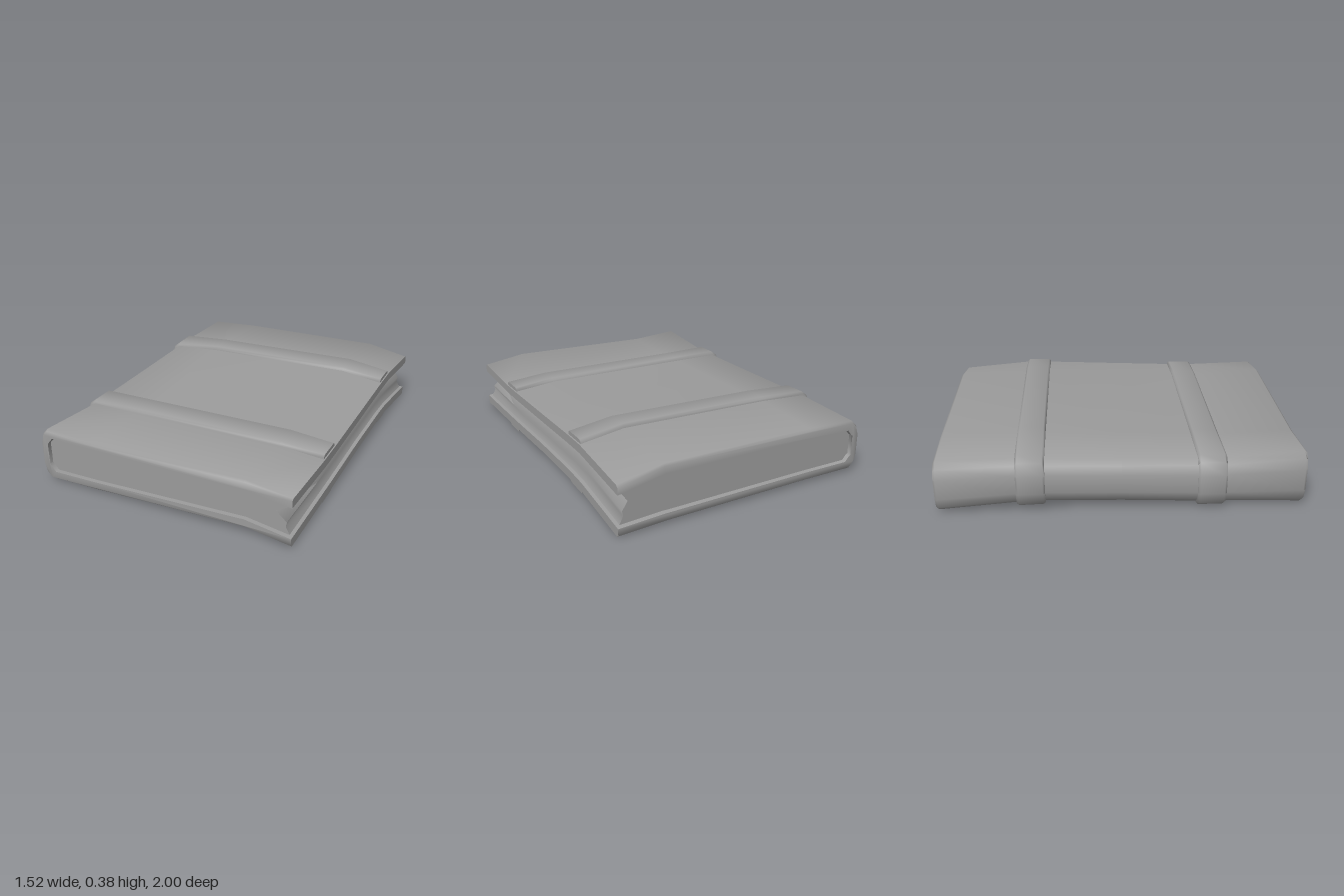
import * as THREE from 'three';
import { toCreasedNormals } from 'three/addons/utils/BufferGeometryUtils.js';

// Warped cover heights: one row per z, one column per x
const XS = [-0.7, -0.4, 0.5, 0.755];
const ZS = [-1, -0.57, -0.42, 0, 0.42, 0.57, 1];
const TOP = [
  [0.305, 0.32, 0.33, 0.28], [0.315, 0.335, 0.355, 0.318], [0.31, 0.33, 0.35, 0.315],
  [0.3, 0.31, 0.325, 0.297], [0.292, 0.295, 0.303, 0.28], [0.29, 0.288, 0.297, 0.277],
  [0.322, 0.302, 0.325, 0.288],
];
const BOTTOM = [
  [0.015, 0.018, 0.012, 0], [0.05, 0.055, 0.08, 0.052], [0.055, 0.06, 0.085, 0.058],
  [0.045, 0.05, 0.077, 0.05], [0.027, 0.03, 0.057, 0.03], [0.025, 0.025, 0.052, 0.025],
  [0.01, 0.015, 0.05, 0.012],
];

function locate(list, v) {
  let i = 0;
  while (i < list.length - 2 && v > list[i + 1]) i++;
  return [i, THREE.MathUtils.clamp((v - list[i]) / (list[i + 1] - list[i]), 0, 1)];
}

function sample(table, x, z) {
  const [i, a] = locate(XS, x), [j, b] = locate(ZS, z), mix = THREE.MathUtils.lerp;
  return mix(mix(table[j][i], table[j][i + 1], a), mix(table[j + 1][i], table[j + 1][i + 1], a), b);
}

// Section point [x, t, d]: t runs from bottom (0) to top (1), d shifts it in y
function place([x, t, d = 0], z) {
  return [x, THREE.MathUtils.lerp(sample(BOTTOM, x, z), sample(TOP, x, z), t) + d, z];
}

// Skin clockwise sections along z and close both ends
function loft(name, zs, section, material) {
  const rings = zs.map((z) => section(z).map((p) => place(p, z)));
  const n = rings[0].length, index = [];
  for (let k = 0; k < zs.length - 1; k++) {
    for (let i = 0; i < n; i++) {
      const a = k * n + i, b = k * n + (i + 1) % n;
      index.push(a, a + n, b, b, a + n, b + n);
    }
  }
  [0, zs.length - 1].forEach((k) => {
    const outline = rings[k].map(([x, y]) => new THREE.Vector2(x, y));
    THREE.ShapeUtils.triangulateShape(outline, []).forEach(([a, b, c]) => {
      const [p, q, r] = [outline[a], outline[b], outline[c]];
      const ccw = (q.x - p.x) * (r.y - p.y) - (q.y - p.y) * (r.x - p.x) > 0;
      const o = k * n;
      if (ccw === (k > 0)) index.push(o + a, o + b, o + c);
      else index.push(o + a, o + c, o + b);
    });
  });
  const geo = new THREE.BufferGeometry();
  geo.setAttribute('position', new THREE.Float32BufferAttribute(rings.flat(2), 3));
  geo.setIndex(index);
  const mesh = new THREE.Mesh(toCreasedNormals(geo, 1.05), material);
  mesh.name = name;
  return mesh;
}

// C-shaped wrap: a half path from fore-edge to spine, mirrored top to bottom
function wrap(outer, inner, right, thick) {
  const half = (o, spine, corner) => [
    [right, 0, o], [0.5, 0, o], [-0.4, 0, o], [corner, 0, o],
    [(corner + spine) / 2 - 0.007, 0, o + 0.03], [spine, 0.3, 0],
  ];
  const mirror = (list) => list.map(([x, t, d]) => [x, 1 - t, -d]).reverse();
  const out = half(-outer, -0.745 - outer * 0.7, -0.695);
  const ins = half(thick, inner, -0.665);
  return [...out, ...mirror(out), ...[...ins, ...mirror(ins)].reverse()];
}

export function createModel() {
  const book = new THREE.Group();
  book.name = 'book';
  const material = new THREE.MeshStandardMaterial({ color: 0x9b9b9b, side: THREE.DoubleSide });

  // Cover with softened ends
  const coverZ = [-1, -0.988, ...ZS.slice(1, -1), 0.988, 1];
  book.add(loft('cover', coverZ,
    (z) => wrap(Math.abs(z) > 0.99 ? -0.01 : 0, -0.7, 0.755, 0.05), material));

  // Page block with a notched fore-edge, cut deeper towards the front end
  const pages = (z) => {
    const notch = 0.69 - 0.03 * Math.max(0, (z - 0.57) / 0.4);
    return [
      [0.738, 0, 0.046], [0.5, 0, 0.046], [-0.4, 0, 0.046], [-0.672, 0, 0.05],
      [-0.705, 0.3], [-0.705, 0.7], [-0.672, 1, -0.05], [-0.4, 1, -0.046],
      [0.5, 1, -0.046], [0.738, 1, -0.046], [0.715, 0.72], [notch, 0.58], [0.72, 0.42], [0.715, 0.32],
    ];
  };
  book.add(loft('pages', [-0.975, ...ZS.slice(1, -1), 0.975], pages, material));

  // Raised bands around the cover
  for (const [name, c] of [['frontBand', 0.488], ['backBand', -0.49]]) {
    const zs = [-0.078, -0.066, 0.066, 0.078].map((d) => c + d);
    book.add(loft(name, zs,
      (z) => wrap(Math.abs(z - c) > 0.07 ? 0.012 : 0.022, -0.72, 0.748, 0.02), material));
  }
  return book;
}
